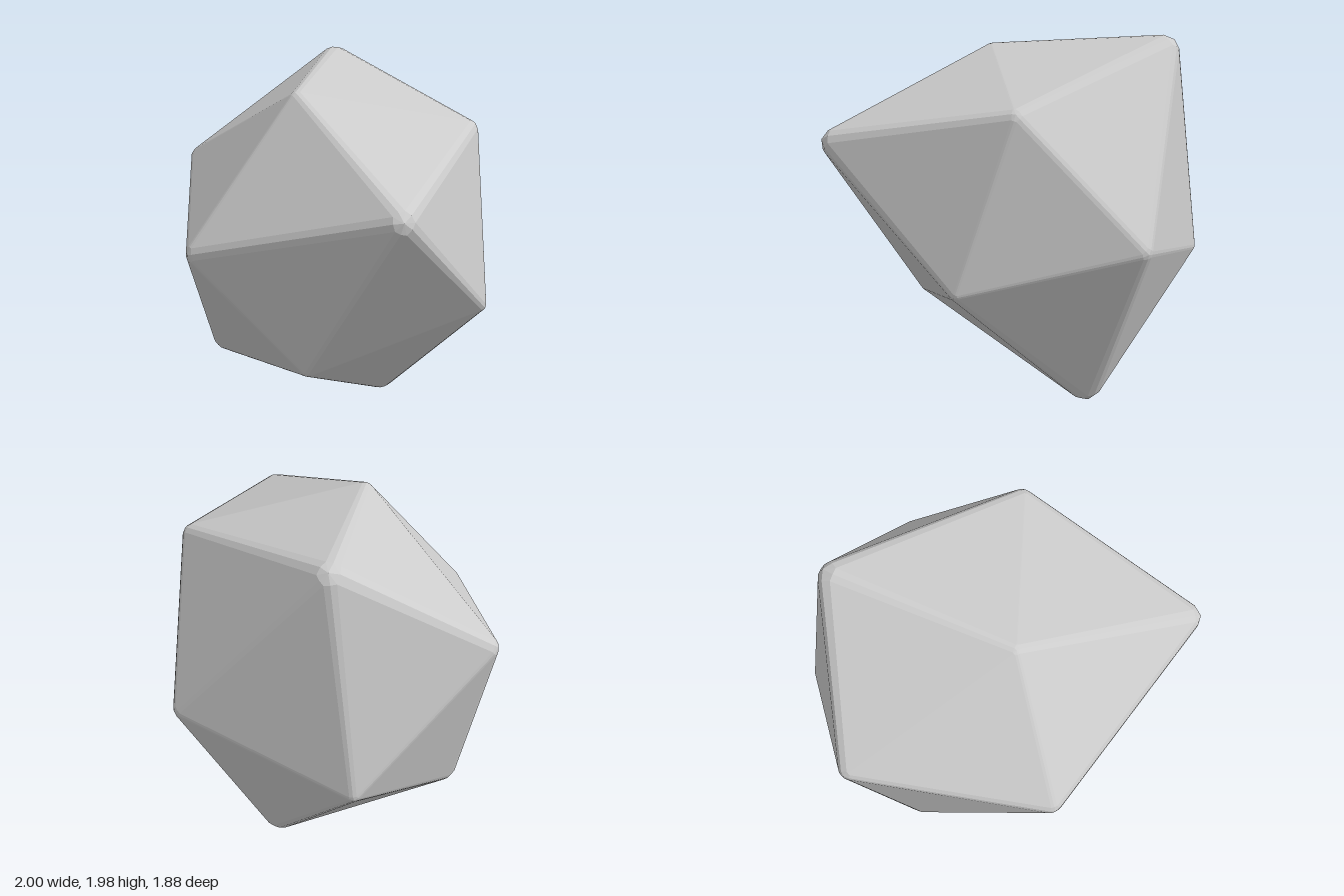
import * as THREE from 'three';
import { ConvexGeometry } from 'three/addons/geometries/ConvexGeometry.js';

// Corners of an irregular icosahedral boulder: x, y, z, rounding radius
const CORNERS = {
  A: [-0.69, 1.965, -0.435, 0.085],
  B: [-0.02, 1.915, 0.31, 0.05],
  C: [0.99, 1.50, 0.40, 0.075],
  D: [-0.995, 1.40, 0.38, 0.06],
  E: [-0.08, 1.15, 0.94, 0.07],
  F: [-0.67, 0.32, 0.45, 0.09],
  G: [0.34, 0.51, 0.50, 0.05],
  H: [-0.16, 0.005, -0.405, 0.095],
  I: [0.71, 0.80, -0.39, 0.04],
  J: [-0.91, 0.76, -0.43, 0.05],
  K: [-0.08, 1.02, -0.945, 0.06],
  L: [0.43, 1.72, -0.53, 0.06],
};
const FACES = ('ABD BDE BEC DEF EFG EGC FGH CLI GCI GIH ' +
  'IKH ILK ABL BLC ALK AJK AJD DJF FJH JKH').split(' ');

function boulderGeometry() {
  const pos = {};
  for (const k in CORNERS) pos[k] = new THREE.Vector3(...CORNERS[k].slice(0, 3));
  const centre = new THREE.Vector3(0, 1, 0);

  // Outward normal of every face
  const faces = FACES.map((f) => {
    const [a, b, c] = [...f].map((k) => pos[k]);
    const n = b.clone().sub(a).cross(c.clone().sub(a)).normalize();
    if (n.dot(a.clone().sub(centre)) < 0) n.negate();
    return { f, n };
  });

  // Replace each corner by a small faceted cap: one point per adjoining face,
  // one per adjoining edge, and the tip. The hull then has two-step bevels.
  const points = [];
  for (const k in pos) {
    const r = CORNERS[k][3];
    const around = faces.filter(({ f }) => f.includes(k));
    const tip = around.reduce((s, { n }) => s.add(n), new THREE.Vector3()).normalize();
    const core = pos[k].clone().addScaledVector(tip, -r);
    const add = (n) => points.push(core.clone().addScaledVector(n, r));
    add(tip);
    around.forEach((p, i) => {
      add(p.n);
      for (const q of around.slice(i + 1)) {
        const shared = [...p.f].filter((c) => q.f.includes(c));
        if (shared.length === 2) add(p.n.clone().add(q.n).normalize());
      }
    });
  }
  return new ConvexGeometry(points);
}

export function createModel() {
  const model = new THREE.Group();
  model.name = 'boulder';
  const stone = new THREE.MeshStandardMaterial({ color: 0xcccccc });
  stone.name = 'pale grey stone';
  const rock = new THREE.Mesh(boulderGeometry(), stone);
  rock.name = 'rock';
  model.add(rock);
  return model;
}
